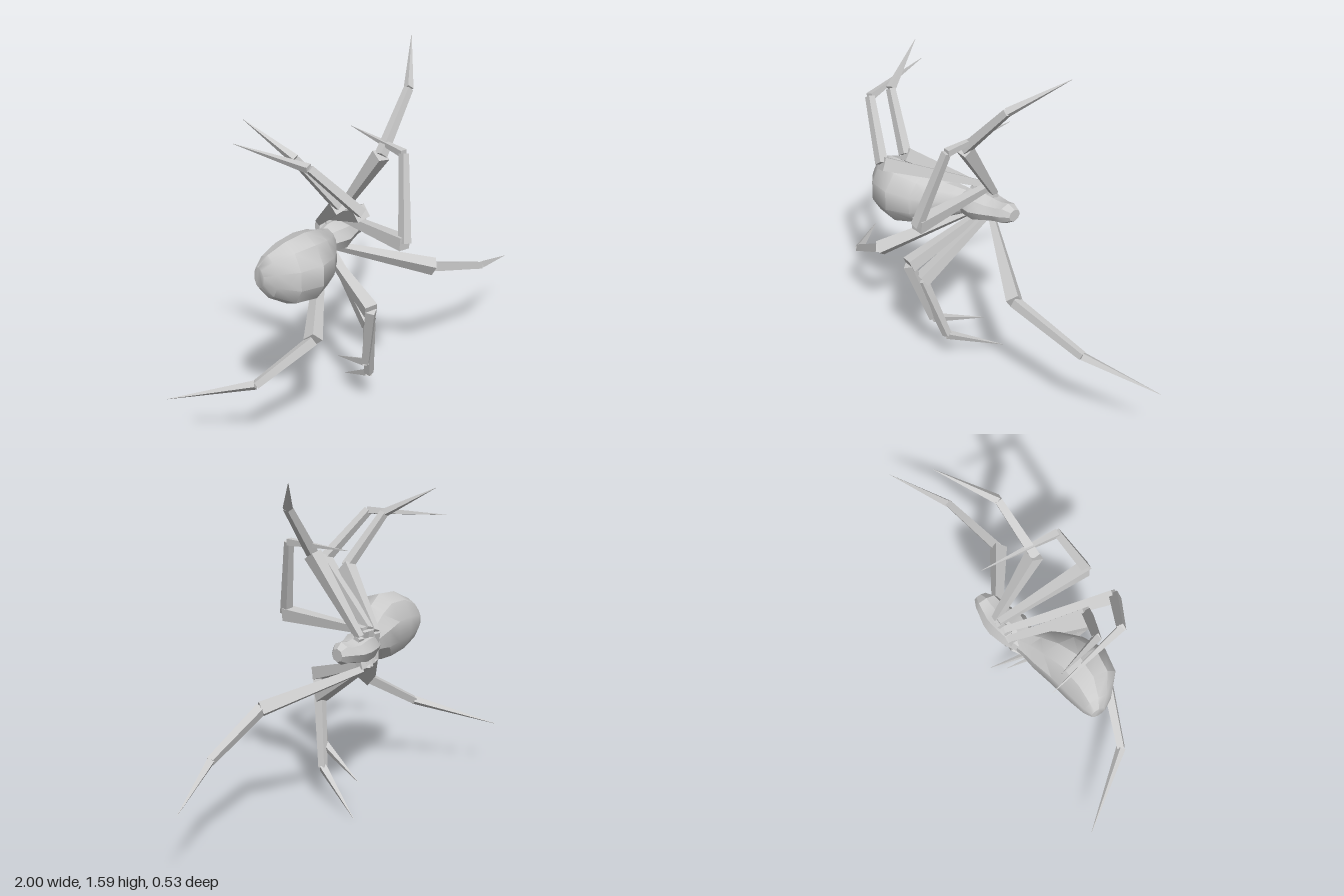
import * as THREE from 'three';
import { toCreasedNormals } from 'three/addons/utils/BufferGeometryUtils.js';

const bodyMat = new THREE.MeshStandardMaterial({ color: 0xcccccc });
const legMat = new THREE.MeshStandardMaterial({ color: 0xcccccc, flatShading: true });

// Closed skin over elliptical rings [x, yCentre, zCentre, ry, rz], ordered from back to head
function loft(rings, sides, crease) {
  const pos = [], idx = [];
  for (const [x, y, z, ry, rz] of rings)
    for (let i = 0; i < sides; i++) {
      const a = (i / sides) * Math.PI * 2;
      pos.push(x, y + ry * Math.cos(a), z + rz * Math.sin(a));
    }
  for (let r = 0; r < rings.length - 1; r++)
    for (let i = 0; i < sides; i++) {
      const a = r * sides + i, b = r * sides + (i + 1) % sides;
      idx.push(a, b, b + sides, a, b + sides, a + sides);
    }
  const last = (rings.length - 1) * sides;
  for (let i = 1; i < sides - 1; i++) {
    idx.push(0, i + 1, i);
    idx.push(last, last + i, last + i + 1);
  }
  const g = new THREE.BufferGeometry();
  g.setAttribute('position', new THREE.Float32BufferAttribute(pos, 3));
  g.setIndex(idx);
  return toCreasedNormals(g, crease);
}

// Four-sided tapered bar between two points
function bar(name, from, to, r0, r1) {
  const a = new THREE.Vector3(...from), b = new THREE.Vector3(...to);
  const dir = b.clone().sub(a), len = dir.length();
  const geo = new THREE.CylinderGeometry(r1, r0, len, 4, 1);
  geo.rotateY(Math.PI / 4);
  const m = new THREE.Mesh(geo, legMat);
  m.name = name;
  m.position.copy(a).add(b).multiplyScalar(0.5);
  m.quaternion.setFromUnitVectors(new THREE.Vector3(0, 1, 0), dir.normalize());
  return m;
}

// Leg joints: hip, knee, ankle, tip
const legs = {
  upperLeg1: [[-0.07, 0.84, -0.22], [-0.005, 1.185, 0.01], [0.2, 1.43, -0.05], [0.38, 1.59, -0.245]],
  upperLeg2: [[-0.1, 0.865, -0.22], [-0.06, 0.86, 0.24], [0.02, 1.225, 0.135], [0.02, 1.245, -0.23]],
  upperLeg3: [[-0.14, 0.86, -0.21], [-0.3, 1.07, 0.24], [-0.495, 1.29, 0.145], [-0.605, 1.31, -0.24]],
  upperLeg4: [[-0.18, 0.84, -0.21], [-0.31, 1.06, 0.1], [-0.485, 1.295, 0.035], [-0.585, 1.43, -0.19]],
  lowerLeg1: [[-0.085, 0.69, -0.225], [0.32, 0.545, 0], [0.68, 0.415, -0.075], [1, 0.31, -0.24]],
  lowerLeg2: [[-0.12, 0.7, -0.22], [-0.17, 0.465, 0.13], [-0.1, 0.15, 0.04], [-0.02, 0, -0.24]],
  lowerLeg3: [[-0.15, 0.7, -0.21], [-0.2, 0.555, 0.18], [-0.15, 0.24, 0.08], [-0.1, 0.14, -0.19]],
  lowerLeg4: [[-0.18, 0.71, -0.2], [-0.48, 0.485, 0.13], [-0.74, 0.325, 0.06], [-1, 0.215, -0.24]],
};

export function createModel() {
  const group = new THREE.Group();

  // Abdomen, leaning forward toward its rear end
  const abdomen = new THREE.Mesh(loft([
    [-0.645, 0.775, -0.025, 0.05, 0.035],
    [-0.61, 0.775, -0.01, 0.1, 0.072],
    [-0.53, 0.775, 0.01, 0.145, 0.12],
    [-0.42, 0.775, 0, 0.155, 0.142],
    [-0.32, 0.77, -0.045, 0.13, 0.13],
    [-0.25, 0.77, -0.09, 0.09, 0.1],
    [-0.17, 0.77, -0.16, 0.055, 0.06],
  ], 10, 0.6), bodyMat);
  abdomen.name = 'abdomen';

  // Thorax narrowing to a neck, then the head
  const thorax = new THREE.Mesh(loft([
    [-0.22, 0.77, -0.155, 0.05, 0.05],
    [-0.17, 0.775, -0.165, 0.066, 0.075],
    [-0.1, 0.775, -0.178, 0.07, 0.09],
    [-0.05, 0.775, -0.195, 0.055, 0.078],
    [0, 0.78, -0.205, 0.048, 0.062],
    [0.035, 0.785, -0.21, 0.052, 0.054],
    [0.07, 0.785, -0.22, 0.03, 0.032],
  ], 8, 0.6), bodyMat);
  thorax.name = 'thoraxAndHead';
  group.add(abdomen, thorax);

  for (const [name, [hip, knee, ankle, tip]] of Object.entries(legs)) {
    const leg = new THREE.Group();
    leg.name = name;
    // Short socket joining the hip to the thorax
    const root = [hip[0], 0.775, -0.19];
    leg.add(
      bar('hipSocket', root, hip, 0.03, 0.022),
      bar('thigh', hip, knee, 0.02, 0.042),
      bar('shin', knee, ankle, 0.029, 0.022),
      bar('foot', ankle, tip, 0.022, 0.001),
    );
    group.add(leg);
  }
  return group;
}
